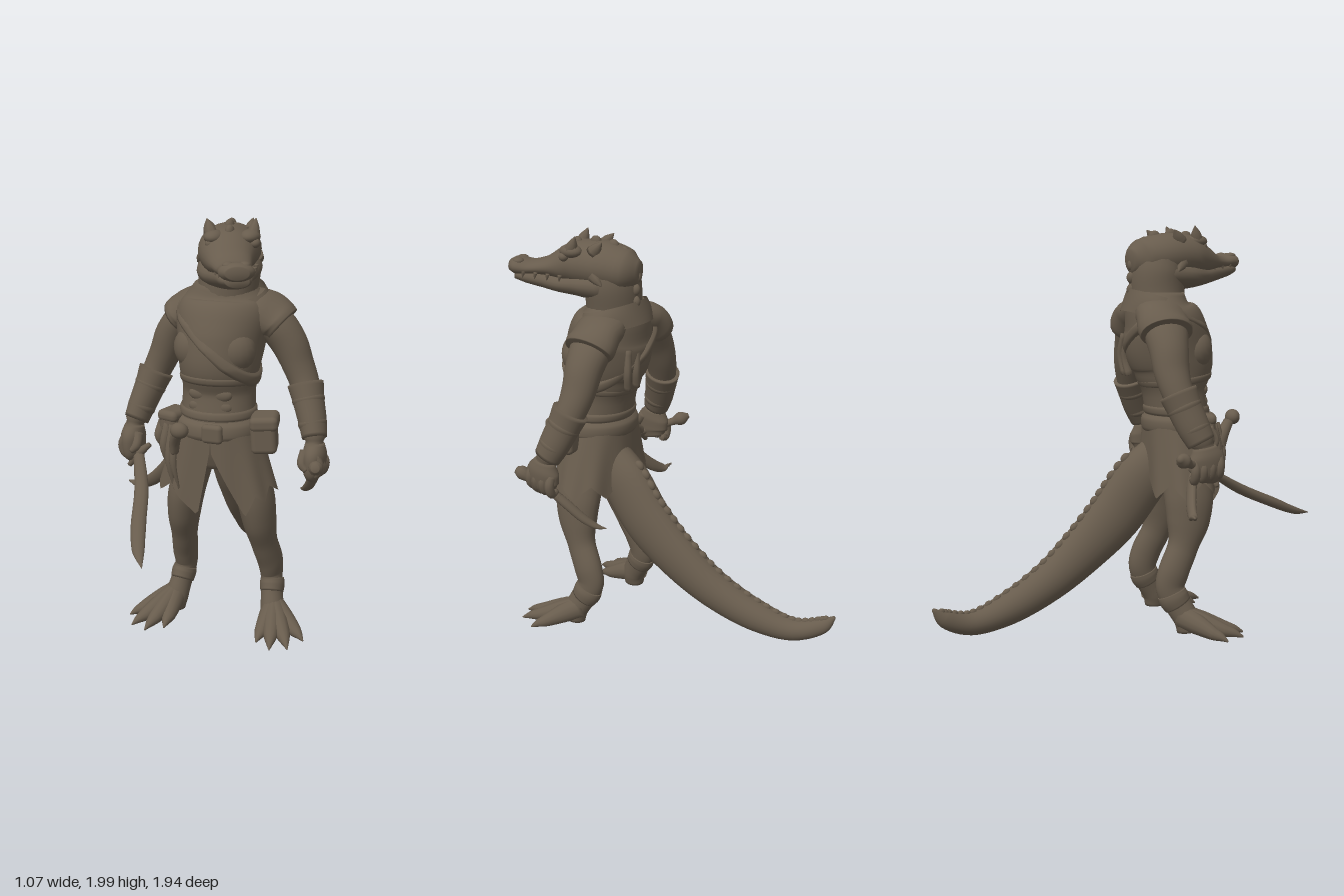
import * as THREE from 'three';
import { RoundedBoxGeometry } from 'three/addons/geometries/RoundedBoxGeometry.js';

const hide = new THREE.MeshStandardMaterial({ color: 0x685c4d, side: THREE.DoubleSide });
hide.name = 'umber hide';

const curves = rows => [new THREE.CatmullRomCurve3(rows.map(r => new THREE.Vector3(r[0], r[1], r[2]))),
  new THREE.CatmullRomCurve3(rows.map(r => new THREE.Vector3(r[3], r[4], 0)))];

// Smooth loft through rows of [x, y, z, half width, half depth], closed at both ends
function loft(rows, sides = 24, steps = 5) {
  const [path, size] = curves(rows);
  const n = (rows.length - 1) * steps, pos = [], idx = [];
  for (let i = 0; i <= n; i++) {
    const p = path.getPoint(i / n), r = size.getPoint(i / n);
    const t = path.getPoint(Math.min(1, i / n + 0.01)).sub(path.getPoint(Math.max(0, i / n - 0.01))).normalize();
    const side = new THREE.Vector3(1, 0, 0).addScaledVector(t, -t.x).normalize();
    const up = new THREE.Vector3().crossVectors(t, side);
    for (let j = 0; j < sides; j++) {
      const a = j / sides * Math.PI * 2;
      const v = p.clone().addScaledVector(side, Math.cos(a) * Math.max(r.x, 0.001))
        .addScaledVector(up, Math.sin(a) * Math.max(r.y, 0.001));
      pos.push(v.x, v.y, v.z);
      if (i < n) {
        const k = (j + 1) % sides, A = i * sides + j, B = i * sides + k;
        idx.push(A, B, B + sides, A, B + sides, A + sides);
      }
    }
  }
  for (const [i, p] of [[0, path.getPoint(0)], [n, path.getPoint(1)]]) {
    const c = pos.length / 3;
    pos.push(p.x, p.y, p.z);
    for (let j = 0; j < sides; j++) {
      const A = i * sides + j, B = i * sides + (j + 1) % sides;
      idx.push(c, ...(i ? [A, B] : [B, A]));
    }
  }
  const g = new THREE.BufferGeometry();
  g.setAttribute('position', new THREE.Float32BufferAttribute(pos, 3));
  g.setIndex(idx);
  g.computeVertexNormals();
  return g;
}

// Sheet whose points follow a rule f(u, v) -> [x, y, z]
function sheet(nu, nv, f) {
  const g = new THREE.PlaneGeometry(1, 1, nu, nv), p = g.attributes.position;
  for (let i = 0; i < p.count; i++) p.setXYZ(i, ...f(p.getX(i) + 0.5, p.getY(i) + 0.5));
  g.computeVertexNormals();
  return g;
}

// Piecewise linear lookup in rows sorted by column 0
function lookup(rows, x, col) {
  let i = 1;
  while (i < rows.length - 1 && rows[i][0] < x) i++;
  const a = rows[i - 1], b = rows[i];
  return THREE.MathUtils.lerp(a[col], b[col], THREE.MathUtils.clamp((x - a[0]) / (b[0] - a[0]), 0, 1));
}

export function createModel() {
  const root = new THREE.Group();
  const add = (name, geo, pos, scale, rot) => {
    const m = new THREE.Mesh(geo, hide);
    m.name = name;
    if (pos) m.position.set(...pos);
    if (scale) m.scale.set(...scale);
    if (rot) m.rotation.set(...rot);
    root.add(m);
    return m;
  };
  const ball = new THREE.SphereGeometry(1, 20, 14);
  const box = (x, y, z) => new RoundedBoxGeometry(x, y, z, 3, 0.025);
  const spike = (name, base, tip, r) => add(name, loft([[...base, r, r], [
    (base[0] + tip[0]) / 2, (base[1] + tip[1]) / 2, (base[2] + tip[2]) / 2, r * 0.7, r * 0.7], [...tip, 0.002, 0.002]], 8, 3));

  // Torso rows: height, centre z, half width, half depth
  const body = [[0.85, 0.3, 0.15, 0.13], [0.98, 0.31, 0.185, 0.16], [1.08, 0.3, 0.178, 0.155], [1.18, 0.285, 0.172, 0.155],
    [1.26, 0.28, 0.182, 0.185], [1.33, 0.275, 0.192, 0.205], [1.42, 0.25, 0.205, 0.215], [1.52, 0.225, 0.22, 0.2], [1.6, 0.2, 0.2, 0.16], [1.68, 0.2, 0.14, 0.125]];
  add('torso', loft(body.map(b => [0, b[0], b[1], b[2], b[3]]), 40));
  const onBody = (a, y, off) => [Math.sin(a) * (lookup(body, y, 2) + off), y, lookup(body, y, 1) + Math.cos(a) * (lookup(body, y, 3) + off)];
  const band = (name, yOf, half, off) => add(name, sheet(80, 6, (u, v) => {
    const a = u * Math.PI * 2;
    return onBody(a, yOf(a) + (v - 0.5) * 2 * half, off * Math.min(1, Math.sin(v * Math.PI) * 1.6) - 0.004);
  }));
  band('belt', () => 1.03, 0.05, 0.026);
  band('waistWrap', () => 1.1, 0.025, 0.012);
  band('chestStrap', a => 1.42 - 0.165 * Math.sin(a), 0.035, 0.018);
  band('vestHem', a => 1.25 + 0.02 * Math.cos(a), 0.02, 0.008);
  add('buckle', box(0.1, 0.09, 0.04), [0.03, 1.03, 0.48]);
  for (const s of [-1, 1]) {
    add('chestMuscle', ball, [s * 0.085, 1.4, 0.35], [0.11, 0.11, 0.096]);
    for (const y of [1.14, 1.2]) add('bellyMuscle', ball, [s * 0.05, y, 0.413], [0.055, 0.034, 0.025]);
  }
  for (const x of [0.03, 0.1]) add('backTassel', loft([[x, 1.47, 0.05, 0.02, 0.012], [x + 0.02, 1.36, 0.045, 0.016, 0.02], [x, 1.27, 0.06, 0.014, 0.02]], 8));

  // Ragged skirt: hem height by angle from the front towards +x
  const hem = [[4, 0.93], [33, 0.63], [48, 0.73], [62, 0.69], [78, 0.76], [100, 0.7], [125, 0.77], [150, 0.69], [180, 0.84],
    [210, 0.68], [235, 0.76], [258, 0.68], [280, 0.77], [300, 0.7], [322, 0.76], [335, 0.7], [354, 0.62], [362, 0.93]];
  const squared = w => Math.sign(w) * Math.abs(w) ** 0.85;
  add('skirt', sheet(144, 8, (u, v) => {
    const d = 4 + u * 358, a = d * Math.PI / 180, y = THREE.MathUtils.lerp(lookup(hem, d, 1), 1.02, v);
    const k = (1.02 - y) / 0.4, wave = 0.008 * k * Math.sin(a * 9);
    return [squared(Math.sin(a)) * (0.195 + 0.12 * k + wave), y, 0.305 + squared(Math.cos(a)) * (0.17 + 0.015 * k + wave)];
  }));

  // Neck, collar
  add('neck', loft([[0, 1.55, 0.2, 0.15, 0.14], [0.015, 1.66, 0.2, 0.14, 0.135], [0.025, 1.76, 0.2, 0.145, 0.135], [0.03, 1.86, 0.22, 0.125, 0.12]]));
  add('collar', sheet(48, 6, (u, v) => {
    const a = u * Math.PI * 2, w = 0.2 - 0.025 * v + 0.015 * Math.sin(v * Math.PI);
    return [0.015 + Math.sin(a) * w, 1.55 + 0.105 * v - 0.04 * Math.cos(a), 0.195 + Math.cos(a) * (0.175 - 0.035 * v)];
  }));

  // Head turned slightly to its left
  add('skullAndSnout', loft([[0, 1.83, 0.055, 0.04, 0.05], [0.02, 1.835, 0.115, 0.115, 0.1], [0.04, 1.85, 0.24, 0.143, 0.115],
    [0.07, 1.85, 0.36, 0.135, 0.11], [0.1, 1.835, 0.44, 0.112, 0.083], [0.135, 1.825, 0.51, 0.09, 0.047], [0.17, 1.82, 0.58, 0.078, 0.036],
    [0.2, 1.825, 0.64, 0.08, 0.042], [0.215, 1.825, 0.675, 0.05, 0.028]], 28));
  add('lowerJaw', loft([[0.025, 1.77, 0.13, 0.1, 0.07], [0.035, 1.765, 0.22, 0.148, 0.085], [0.06, 1.76, 0.33, 0.142, 0.072], [0.1, 1.757, 0.43, 0.107, 0.055],
    [0.14, 1.768, 0.52, 0.084, 0.046], [0.18, 1.78, 0.6, 0.075, 0.038], [0.207, 1.785, 0.65, 0.052, 0.026]], 24));
  // Point in head space: sideways, height, forward
  const head = (s, y, f) => [0.04 + s * 0.93 + f * 0.37, y, 0.24 - s * 0.37 + f * 0.93];
  for (const s of [-1, 1]) {
    add('eye', ball, head(s * 0.098, 1.9, 0.17), [0.024, 0.022, 0.024]);
    add('brow', ball, head(s * 0.08, 1.925, 0.14), [0.045, 0.032, 0.06]);
    add('nostril', ball, head(s * 0.035, 1.853, 0.42), [0.026, 0.016, 0.028]);
    spike('browHorn', head(s * 0.09, 1.925, 0.14), head(s * 0.108, 2.0, 0.11), 0.035);
    spike('rearHorn', head(s * 0.09, 1.925, 0.03), head(s * 0.105, 1.98, -0.02), 0.035);
    spike('cheekSpike', head(s * 0.12, 1.82, 0.02), head(s * 0.15, 1.78, -0.03), 0.03);
    for (let i = 0; i < 4; i++) spike('tooth', head(s * (0.104 - i * 0.012), 1.81, 0.19 + i * 0.065), head(s * (0.104 - i * 0.012), 1.78, 0.195 + i * 0.065), 0.01);
  }
  for (const [y, z, x] of [[1.945, 0.37, 0.08], [1.955, 0.28, 0.05], [1.945, 0.19, 0.03], [1.915, 0.135, 0.02],
    [1.87, 0.09, 0.01], [1.81, 0.075, 0.01], [1.75, 0.075, 0.02], [1.69, 0.075, 0.02]])
    add('neckScute', ball, [x, y, z], [0.022, 0.032, 0.03]);

  // Arms, bracers and hands
  for (const s of [-1, 1]) {
    const side = rows => rows.map(r => [s * r[0] + (s < 0 ? 0.03 : 0), ...r.slice(1)]);
    add('arm', loft(side([[0.15, 1.55, 0.18, 0.07, 0.09], [0.23, 1.5, 0.17, 0.085, 0.11], [0.3, 1.41, 0.165, 0.085, 0.095],
      [0.345, 1.31, 0.165, 0.075, 0.085], [0.385, 1.22, 0.18, 0.068, 0.075], [0.43, 1.1, 0.225, 0.06, 0.072], [0.46, 0.99, 0.275, 0.05, 0.06], [0.465, 0.93, 0.295, 0.05, 0.06]])));
    add('shoulderCap', loft(side([[0.08, 1.605, 0.18, 0.06, 0.11], [0.17, 1.56, 0.175, 0.09, 0.135], [0.24, 1.515, 0.165, 0.096, 0.136], [0.27, 1.49, 0.165, 0.092, 0.128]])));
    add('bracer', loft(side([[0.388, 1.22, 0.18, 0.085, 0.092], [0.41, 1.15, 0.205, 0.074, 0.084], [0.44, 1.06, 0.24, 0.066, 0.078], [0.46, 0.99, 0.272, 0.058, 0.068]])));
    for (const [x, y, z, r] of [[0.41, 1.15, 0.205, 0.077], [0.442, 1.05, 0.245, 0.068]])
      add('bracerStrap', loft(side([[x - 0.006, y + 0.018, z - 0.007, r - 0.006, r + 0.002], [x, y, z, r, r + 0.008], [x + 0.006, y - 0.018, z + 0.007, r - 0.006, r + 0.002]])));
    add('hand', loft(side([[0.465, 0.97, 0.285, 0.045, 0.055], [0.468, 0.91, 0.295, 0.055, 0.09], [0.465, 0.85, 0.295, 0.05, 0.088], [0.455, 0.81, 0.285, 0.03, 0.055]])));
    for (let i = 0; i < 4; i++) {
      const z = 0.23 + i * 0.04, y = 0.86 + i * 0.008;
      add('finger', loft(side([[0.485, y + 0.045, z, 0.02, 0.02], [0.502, y, z, 0.023, 0.023], [0.485, y - 0.045, z, 0.022, 0.022], [0.45, y - 0.04, z, 0.016, 0.016]]), 10));
    }
    add('thumb', loft(side([[0.43, 0.94, 0.33, 0.025, 0.025], [0.425, 0.89, 0.365, 0.022, 0.022], [0.45, 0.86, 0.375, 0.014, 0.014]]), 10));

    // Legs, ankle wraps and clawed feet
    add('leg', loft(side([[0.1, 0.97, 0.3, 0.07, 0.12], [0.155, 0.8, 0.305, 0.085, 0.128], [0.19, 0.67, 0.31, 0.085, 0.125], [0.207, 0.55, 0.3, 0.076, 0.108],
      [0.22, 0.43, 0.268, 0.062, 0.077], [0.235, 0.32, 0.218, 0.06, 0.078], [0.238, 0.24, 0.2, 0.053, 0.073], [0.25, 0.16, 0.235, 0.052, 0.067], [0.265, 0.08, 0.275, 0.058, 0.062], [0.27, 0.02, 0.28, 0.048, 0.052]])));
    add('knee', ball, side([[0.212, 0.55, 0.35]])[0], [0.055, 0.075, 0.05]);
    add('ankleWrap', loft(side([[0.242, 0.215, 0.205, 0.056, 0.073], [0.246, 0.19, 0.215, 0.06, 0.076], [0.25, 0.155, 0.235, 0.056, 0.07]])));
    for (const [x, z] of [[0.25, 0.5], [0.33, 0.55], [0.41, 0.52], [0.46, 0.42]]) {
      const mid = (k, y, a, b) => [0.265 + (x - 0.265) * k, y, 0.25 + (z - 0.25) * k, a, b];
      add('toe', loft(side([mid(0, 0.1, 0.05, 0.06), mid(0.35, 0.07, 0.045, 0.05), mid(0.7, 0.038, 0.034, 0.032), mid(0.85, 0.028, 0.021, 0.021), mid(1, 0.012, 0.003, 0.004)]), 12));
    }
  }

  // Tail with a ridge of scutes
  const tail = [[0.03, 0.88, 0.24, 0.09, 0.11], [0.03, 0.74, 0.12, 0.1, 0.14], [0.03, 0.57, -0.01, 0.095, 0.14], [0.01, 0.41, -0.18, 0.09, 0.122],
    [-0.03, 0.27, -0.37, 0.087, 0.1], [-0.085, 0.165, -0.59, 0.078, 0.08], [-0.14, 0.125, -0.78, 0.058, 0.056], [-0.185, 0.17, -0.91, 0.034, 0.04], [-0.2, 0.225, -0.965, 0.008, 0.008]];
  add('tail', loft(tail, 24, 6));
  const [spine, girth] = curves(tail);
  for (let i = 0; i < 27; i++) {
    const u = 0.1 + i * 0.032, t = spine.getTangent(u);
    const up = new THREE.Vector3(0, 1, 0).addScaledVector(t, -t.y).normalize();
    const k = 0.03 - 0.013 * u;
    const scute = add('tailScute', ball, spine.getPoint(u).addScaledVector(up, girth.getPoint(u).y - 0.004).toArray(), [k * 0.7, k * 0.8, k]);
    scute.lookAt(scute.position.clone().add(t));
  }

  // Sword in the right hand, dagger in the left
  add('swordGrip', loft([[-0.53, 0.935, 0.13, 0.012, 0.012], [-0.5, 0.92, 0.16, 0.036, 0.036], [-0.475, 0.9, 0.2, 0.02, 0.02], [-0.4, 0.845, 0.33, 0.022, 0.022]], 14));
  add('swordGuard', loft([[-0.44, 0.78, 0.35, 0.012, 0.012], [-0.395, 0.84, 0.34, 0.022, 0.022], [-0.34, 0.89, 0.33, 0.012, 0.012]], 12));
  add('swordBlade', loft([[-0.4, 0.845, 0.33, 0.026, 0.018], [-0.31, 0.735, 0.52, 0.034, 0.025], [-0.245, 0.645, 0.72, 0.036, 0.025], [-0.19, 0.585, 0.86, 0.029, 0.019], [-0.13, 0.555, 0.97, 0.002, 0.002]], 12));
  add('daggerGrip', loft([[0.505, 0.9, 0.43, 0.02, 0.02], [0.5, 0.89, 0.4, 0.034, 0.034], [0.485, 0.86, 0.35, 0.02, 0.02], [0.45, 0.79, 0.21, 0.02, 0.02]], 12));
  add('daggerBlade', loft([[0.46, 0.81, 0.24, 0.024, 0.02], [0.43, 0.75, 0.175, 0.026, 0.02], [0.395, 0.685, 0.11, 0.024, 0.018], [0.36, 0.645, 0.06, 0.017, 0.012], [0.33, 0.63, 0.02, 0.002, 0.002]], 12));
  add('scabbard', loft([[-0.19, 0.9, 0.33, 0.03, 0.02], [-0.26, 0.78, 0.29, 0.036, 0.022], [-0.36, 0.68, 0.25, 0.034, 0.02], [-0.44, 0.64, 0.23, 0.024, 0.015], [-0.5, 0.645, 0.22, 0.004, 0.004]], 12));

  // Belt gear
  add('leftPouch', box(0.12, 0.17, 0.14), [0.24, 1.015, 0.35], null, [0, 0.2, 0.06]);
  add('leftPouchFlap', box(0.132, 0.07, 0.152), [0.242, 1.075, 0.35], null, [0, 0.2, 0.06]);
  add('rightPouch', box(0.1, 0.14, 0.13), [-0.2, 1.02, 0.36], null, [0, -0.3, 0]);
  add('rightPouchFlap', box(0.11, 0.055, 0.14), [-0.2, 1.07, 0.36], null, [0, -0.3, 0]);
  add('pistolGrip', loft([[-0.16, 0.92, 0.47, 0.02, 0.03], [-0.15, 0.98, 0.49, 0.026, 0.03], [-0.12, 1.04, 0.53, 0.024, 0.026]], 12));
  add('pistolKnob', ball, [-0.1, 1.06, 0.56], [0.043, 0.038, 0.036]);
  [[-0.15, 0.74], [-0.18, 0.72], [-0.215, 0.82], [-0.25, 0.9]].forEach(([x, y], i) => add('tatteredStrip', loft([
    [x, 1.04, 0.46 - i * 0.025, 0.02, 0.012], [x - 0.012, (1.04 + y) / 2, 0.49 - i * 0.025, 0.018, 0.012], [x + 0.01, y, 0.47 - i * 0.025, 0.004, 0.006]], 8)));
  return root;
}
